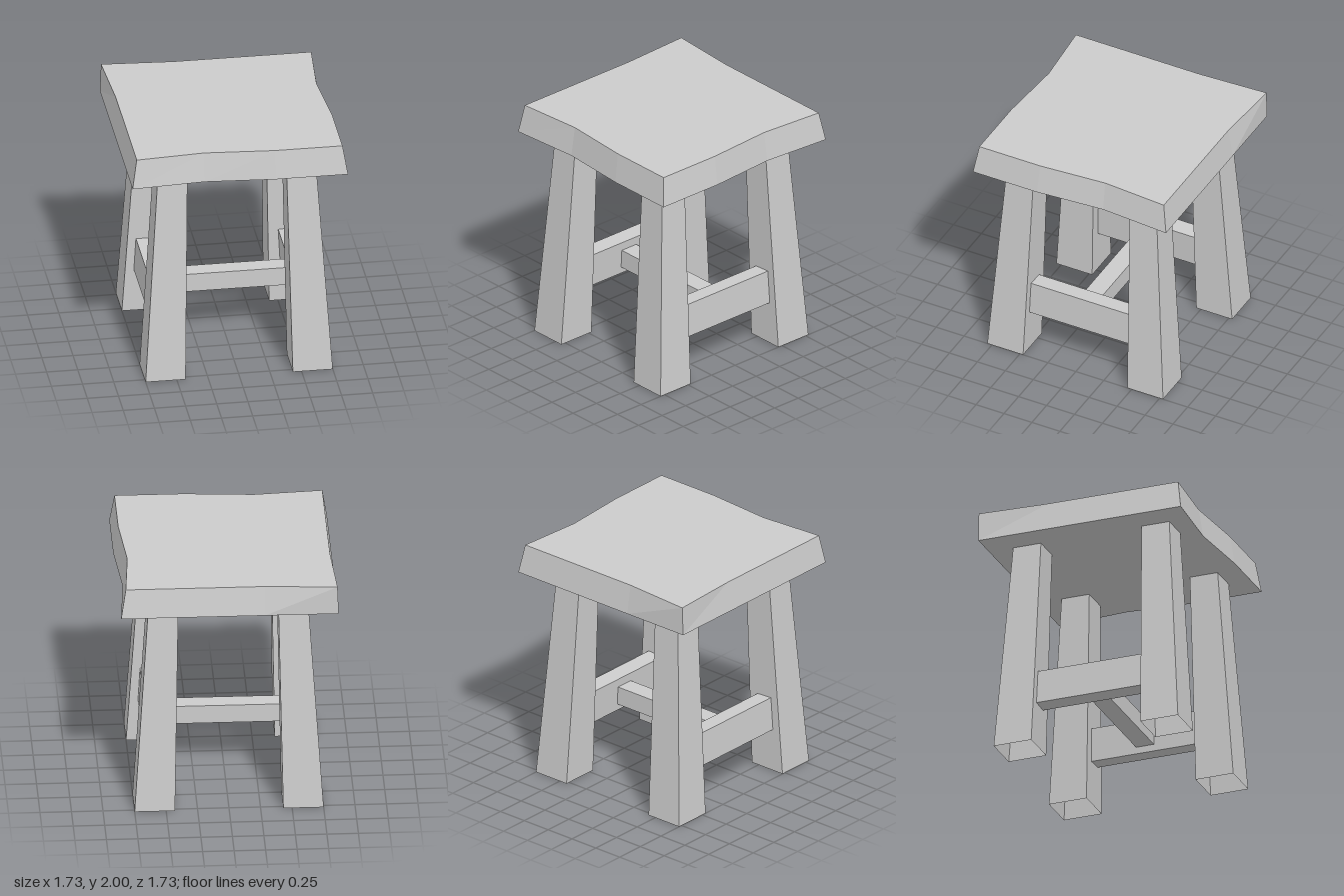
import * as THREE from 'three';

const material = new THREE.MeshStandardMaterial({ color: 0xcccccc, flatShading: true, side: THREE.DoubleSide });

function addMesh(group, name, geometry) {
  const mesh = new THREE.Mesh(geometry, material);
  mesh.name = name;
  group.add(mesh);
  return mesh;
}

// Closed slab lofted between two outlines of [x, z] points, anticlockwise from above
function slab(lower, upper, y0, y1) {
  const n = lower.length;
  const positions = [
    ...lower.flatMap(([x, z]) => [x, y0, z]),
    ...upper.flatMap(([x, z]) => [x, y1, z]),
  ];
  const index = [];
  for (let i = 0; i < n; i++) {
    const j = (i + 1) % n;
    index.push(i, j, n + j, i, n + j, n + i);
  }
  const cap = (outline) => THREE.ShapeUtils.triangulateShape(outline.map(([x, z]) => new THREE.Vector2(x, -z)), []);
  cap(upper).forEach(([a, b, c]) => index.push(n + a, n + b, n + c));
  cap(lower).forEach(([a, b, c]) => index.push(a, c, b));
  const indexed = new THREE.BufferGeometry();
  indexed.setAttribute('position', new THREE.Float32BufferAttribute(positions, 3));
  indexed.setIndex(index);
  const geometry = indexed.toNonIndexed();
  geometry.computeVertexNormals();
  return geometry;
}

// Tapered, splayed leg: a hollow square tube without end faces
function legGeometry(sx, sz) {
  const height = 1.78;
  const box = new THREE.BoxGeometry(1, 1, 1);
  const p = box.attributes.position;
  for (let i = 0; i < p.count; i++) {
    const top = p.getY(i) > 0;
    const width = top ? 0.236 : 0.32;
    const cx = top ? 0.515 : 0.59;
    const cz = top ? 0.547 : 0.626;
    p.setXYZ(i, sx * cx + p.getX(i) * width, top ? height : 0, sz * cz + 0.006 + p.getZ(i) * width);
  }
  const faces = Array.from(box.index.array);
  box.setIndex([...faces.slice(0, 12), ...faces.slice(24)]);
  const geometry = box.toNonIndexed();
  geometry.computeVertexNormals();
  return geometry;
}

export function createModel() {
  const stool = new THREE.Group();
  stool.name = 'stool';

  // Seat with uneven, bevelled edges
  const lower = [
    [-0.865, 0.862], [-0.28, 0.82], [0.29, 0.862], [0.862, 0.862],
    [0.862, 0.29], [0.82, -0.28], [0.862, -0.865], [0.29, -0.865],
    [-0.28, -0.865], [-0.865, -0.865], [-0.865, -0.28], [-0.865, 0.29],
  ];
  const upper = [
    [-0.827, 0.825], [-0.28, 0.782], [0.28, 0.825], [0.823, 0.825],
    [0.823, 0.28], [0.782, -0.28], [0.823, -0.825], [0.28, -0.825],
    [-0.28, -0.825], [-0.856, -0.865], [-0.827, -0.28], [-0.827, 0.28],
  ];
  addMesh(stool, 'seat', slab(lower, upper, 1.762, 2));

  for (const sx of [1, -1]) {
    const side = sx > 0 ? 'left' : 'right';

    // Legs
    for (const sz of [1, -1]) {
      addMesh(stool, `${side}${sz > 0 ? 'Front' : 'Back'}Leg`, legGeometry(sx, sz));
    }

    // Side stretchers lean with the legs
    const stretcher = addMesh(stool, `${side}Stretcher`, new THREE.BoxGeometry(0.14, 0.28, 0.94));
    stretcher.position.set(sx * 0.578, 0.5, 0.006);
    stretcher.rotation.z = sx * 0.055;
  }

  // Cross stretcher joining the two side stretchers
  const cross = addMesh(stool, 'crossStretcher', new THREE.BoxGeometry(1.04, 0.153, 0.153));
  cross.position.set(0, 0.489, 0.006);

  return stool;
}
